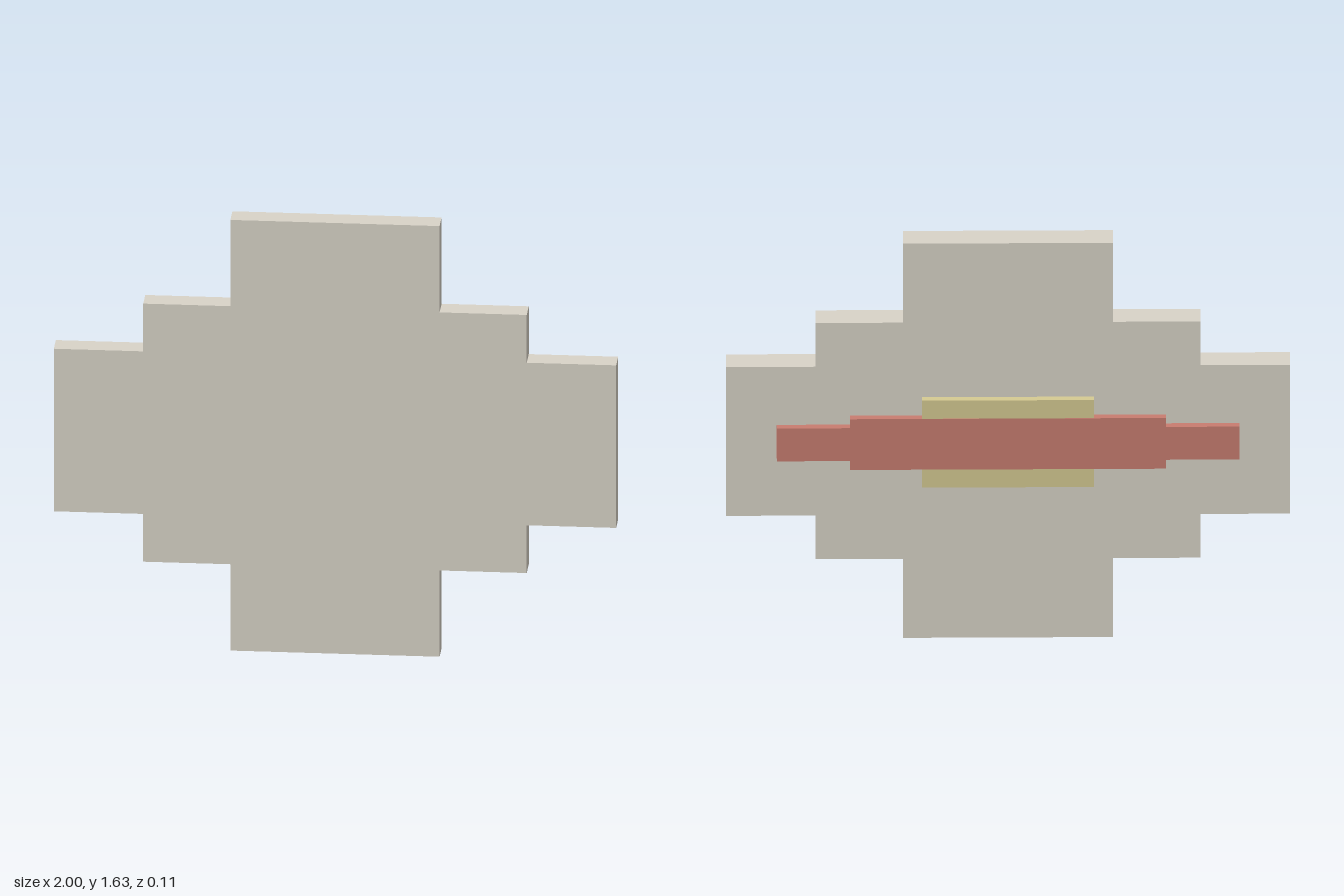
import * as THREE from 'three';

const CENTER_Y = 0.816;

// Symmetric stepped slab; steps are [halfWidth, halfHeight], narrowest and tallest first
function steppedSlab(name, steps, zBack, zFront, color) {
  const quarter = [];
  steps.forEach(([w, h], i) => {
    if (i > 0) quarter.push([steps[i - 1][0], h]);
    quarter.push([w, h]);
  });
  const back = [...quarter].reverse();
  const outline = [
    ...quarter,
    ...back.map(([x, y]) => [x, -y]),
    ...quarter.map(([x, y]) => [-x, -y]),
    ...back.map(([x, y]) => [-x, y]),
  ].map(([x, y]) => new THREE.Vector2(x, y));

  const geometry = new THREE.ExtrudeGeometry(new THREE.Shape(outline), {
    depth: zFront - zBack,
    bevelEnabled: false,
  });
  const mesh = new THREE.Mesh(geometry, new THREE.MeshStandardMaterial({ color }));
  mesh.name = name;
  mesh.position.set(0, CENTER_Y, zBack);
  return mesh;
}

export function createModel() {
  const model = new THREE.Group();
  model.name = 'steppedPanel';

  // Main plate with two steps at each corner
  model.add(steppedSlab('plate', [[0.372, 0.816], [0.682, 0.489], [1, 0.308]], -0.031, 0.056, 0xd9d4c8));

  // Block behind the middle of the strip
  model.add(steppedSlab('centreBlock', [[0.305, 0.18]], -0.055, -0.031, 0xd6cb92));

  // Long strip across the back, a hair proud of the block
  model.add(steppedSlab('backStrip', [[0.56, 0.105], [0.82, 0.068]], -0.056, -0.031, 0xc97d70));

  return model;
}
